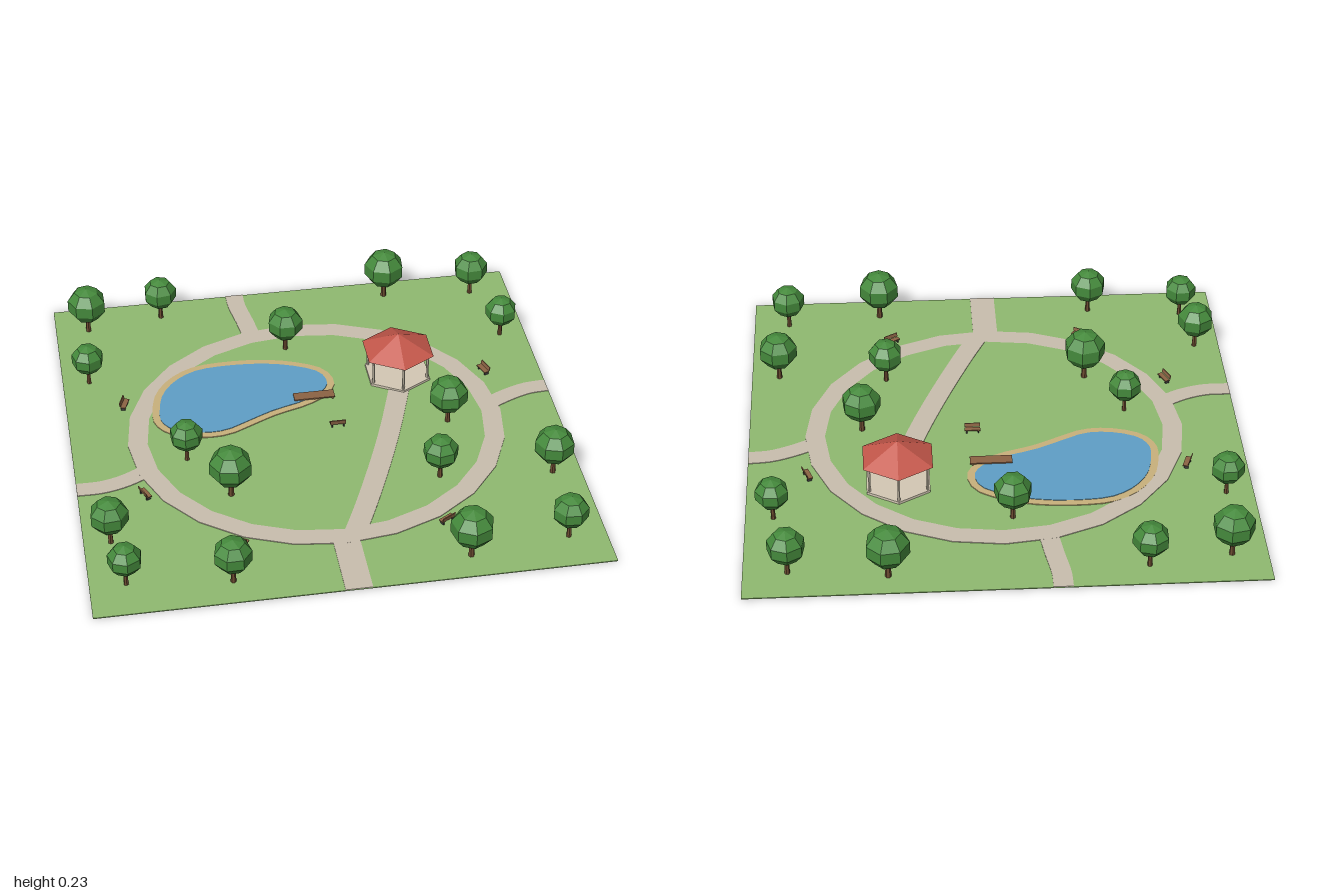
import * as THREE from 'three';

const mat = (name, color, flatShading = true) => {
  const m = new THREE.MeshStandardMaterial({ color, flatShading });
  m.name = name;
  return m;
};

export function createModel() {
  const grass = mat('grass green', 0x8fba70);
  const gravel = mat('path gravel', 0xc9beae);
  const sand = mat('shore sand', 0xc9b17c);
  const water = mat('pond water', 0x5f9fc6);
  const leaf = mat('leaf green', 0x458a3c);
  const bark = mat('bark brown', 0x6b4a30);
  const wood = mat('plank wood', 0x8c6344);
  const iron = mat('dark iron', 0x3a3a3a);
  const roofRed = mat('roof red', 0xc4574a);
  const stone = mat('pavilion cream', 0xd3c8b4);

  const park = new THREE.Group();
  park.name = 'park';
  const GROUND = 0.004;

  const add = (parent, name, geometry, material, x = 0, y = 0, z = 0) => {
    const mesh = new THREE.Mesh(geometry, material);
    mesh.name = name;
    mesh.position.set(x, y, z);
    parent.add(mesh);
    return mesh;
  };
  const box = (w, h, d) => new THREE.BoxGeometry(w, h, d);
  const group = (name, x, z) => {
    const g = new THREE.Group();
    g.name = name;
    g.position.set(x, 0, z);
    park.add(g);
    return g;
  };

  // Thin slab lying on the ground from an outline of [x, z] points
  const slab = (name, outline, height, material, hole) => {
    const toV2 = ([x, z]) => new THREE.Vector2(x, -z);
    const shape = new THREE.Shape(outline.map(toV2));
    if (hole) shape.holes.push(new THREE.Path(hole.map(toV2)));
    const geo = new THREE.ExtrudeGeometry(shape, { depth: height, bevelEnabled: false });
    geo.rotateX(-Math.PI / 2);
    return add(park, name, geo, material, 0, GROUND, 0);
  };

  // Points along a spline pushed sideways by a distance
  const offsetCurve = (points, distance, count, closed) => {
    const curve = new THREE.CatmullRomCurve3(points.map(([x, z]) => new THREE.Vector3(x, 0, z)), closed);
    const out = [];
    for (let i = 0; i < (closed ? count : count + 1); i++) {
      const p = curve.getPoint(i / count), t = curve.getTangent(i / count);
      const clamp = v => THREE.MathUtils.clamp(v, -1, 1);
      out.push([clamp(p.x + t.z * distance), clamp(p.z - t.x * distance)]);
    }
    return out;
  };

  add(park, 'lawn', box(2, GROUND, 2), grass, 0, GROUND / 2, 0);

  // Ring walk and the paths that join it
  const ellipse = (rx, rz) => Array.from({ length: 24 }, (_, i) => {
    const a = i / 24 * Math.PI * 2;
    return [rx * Math.cos(a), rz * Math.sin(a)];
  });
  slab('ringPath', ellipse(0.772, 0.735), 0.003, gravel, ellipse(0.692, 0.652));

  const paths = {
    southPath: [0.105, [[0, 0.68], [0, 0.85], [0, 1]]],
    northPath: [0.076, [[-0.17, -0.68], [-0.185, -0.8], [-0.203, -0.92], [-0.204, -1]]],
    eastPath: [0.076, [[0.73, -0.045], [0.82, -0.09], [0.91, -0.122], [1, -0.13]]],
    westPath: [0.076, [[-0.72, 0.175], [-0.81, 0.22], [-0.9, 0.244], [-1, 0.245]]],
    pavilionPath: [0.085, [[0.04, 0.68], [0.1, 0.55], [0.205, 0.3], [0.3, 0.05], [0.39, -0.22]]],
  };
  for (const [name, [width, points]] of Object.entries(paths)) {
    const left = offsetCurve(points, width / 2, 10, false);
    const right = offsetCurve(points, -width / 2, 10, false).reverse();
    slab(name, [...left, ...right], 0.0028, gravel);
  }

  // Pond with a sandy shore
  const pond = [
    [-0.62, -0.21], [-0.595, -0.32], [-0.53, -0.41], [-0.44, -0.465], [-0.32, -0.48], [-0.155, -0.47],
    [-0.02, -0.43], [0.075, -0.37], [0.095, -0.29], [0.06, -0.235], [-0.02, -0.185], [-0.155, -0.14],
    [-0.26, -0.09], [-0.37, -0.04], [-0.475, -0.04], [-0.58, -0.08], [-0.62, -0.14],
  ];
  slab('shore', offsetCurve(pond, 0.03, 40, true), 0.0035, sand);
  slab('water', offsetCurve(pond, 0, 40, true), 0.0055, water);

  // Jetty
  const jetty = group('jetty', 0.025, -0.207);
  add(jetty, 'deck', box(0.17, 0.005, 0.048), wood, 0, 0.0145, 0);
  for (const x of [-0.075, 0, 0.075]) for (const z of [-0.018, 0.018])
    add(jetty, 'post', box(0.006, 0.012, 0.006), bark, x, 0.006, z);

  // Pavilion: hexagonal floor, six posts and a pointed roof
  const pavilion = group('pavilion', 0.4, -0.32);
  add(pavilion, 'floor', new THREE.CylinderGeometry(0.145, 0.145, 0.015, 6), stone, 0, 0.0075, 0);
  for (let i = 0; i < 6; i++) {
    const a = i / 6 * Math.PI * 2;
    add(pavilion, 'post', new THREE.CylinderGeometry(0.006, 0.006, 0.117, 6), stone,
      0.132 * Math.sin(a), 0.0725, 0.132 * Math.cos(a));
  }
  add(pavilion, 'roof', new THREE.ConeGeometry(0.158, 0.076, 6), roofRed, 0, 0.167, 0);

  // Benches: x, z and the point each one faces
  const benches = [
    [-0.76, -0.27, 0, 0], [0.76, -0.27, 0, 0], [-0.735, 0.325, 0, 0],
    [-0.405, 0.668, 0, 0], [0.405, 0.668, 0, 0], [0.09, 0, 0.09, -1],
  ];
  for (const [x, z, tx, tz] of benches) {
    const bench = group('bench', x, z);
    bench.rotation.y = Math.atan2(tx - x, tz - z);
    add(bench, 'seat', box(0.064, 0.004, 0.022), wood, 0, 0.02, 0.002);
    add(bench, 'backrest', box(0.064, 0.016, 0.004), wood, 0, 0.032, -0.011).rotation.x = -0.2;
    for (const side of [-1, 1])
      add(bench, 'leg', box(0.005, 0.016, 0.018), iron, side * 0.024, 0.011, 0);
  }

  // Trees: x, z and crown radius
  const trees = [
    [-0.86, -0.84, 0.081], [-0.54, -0.89, 0.07], [0.45, -0.9, 0.085], [0.83, -0.86, 0.073],
    [-0.89, -0.46, 0.066], [-0.04, -0.57, 0.074], [0.89, -0.525, 0.066], [0.54, 0.04, 0.079],
    [-0.545, 0.12, 0.066], [-0.4, 0.37, 0.085], [0.435, 0.39, 0.07], [0.885, 0.435, 0.079],
    [-0.895, 0.58, 0.075], [-0.86, 0.83, 0.066], [-0.46, 0.88, 0.074], [0.455, 0.88, 0.084],
    [0.85, 0.83, 0.07],
  ];
  const crownGeo = new THREE.SphereGeometry(1, 7, 5);
  trees.forEach(([x, z, r], i) => {
    const tree = group('tree', x, z);
    tree.rotation.y = i * 1.3;
    add(tree, 'trunk', new THREE.CylinderGeometry(r * 0.1, r * 0.15, 0.085, 6), bark, 0, 0.0425, 0);
    add(tree, 'crown', crownGeo, leaf, 0, 0.063 + r * 0.98, 0).scale.set(r / 0.951, r * 0.98, r / 0.951);
  });

  return park;
}
